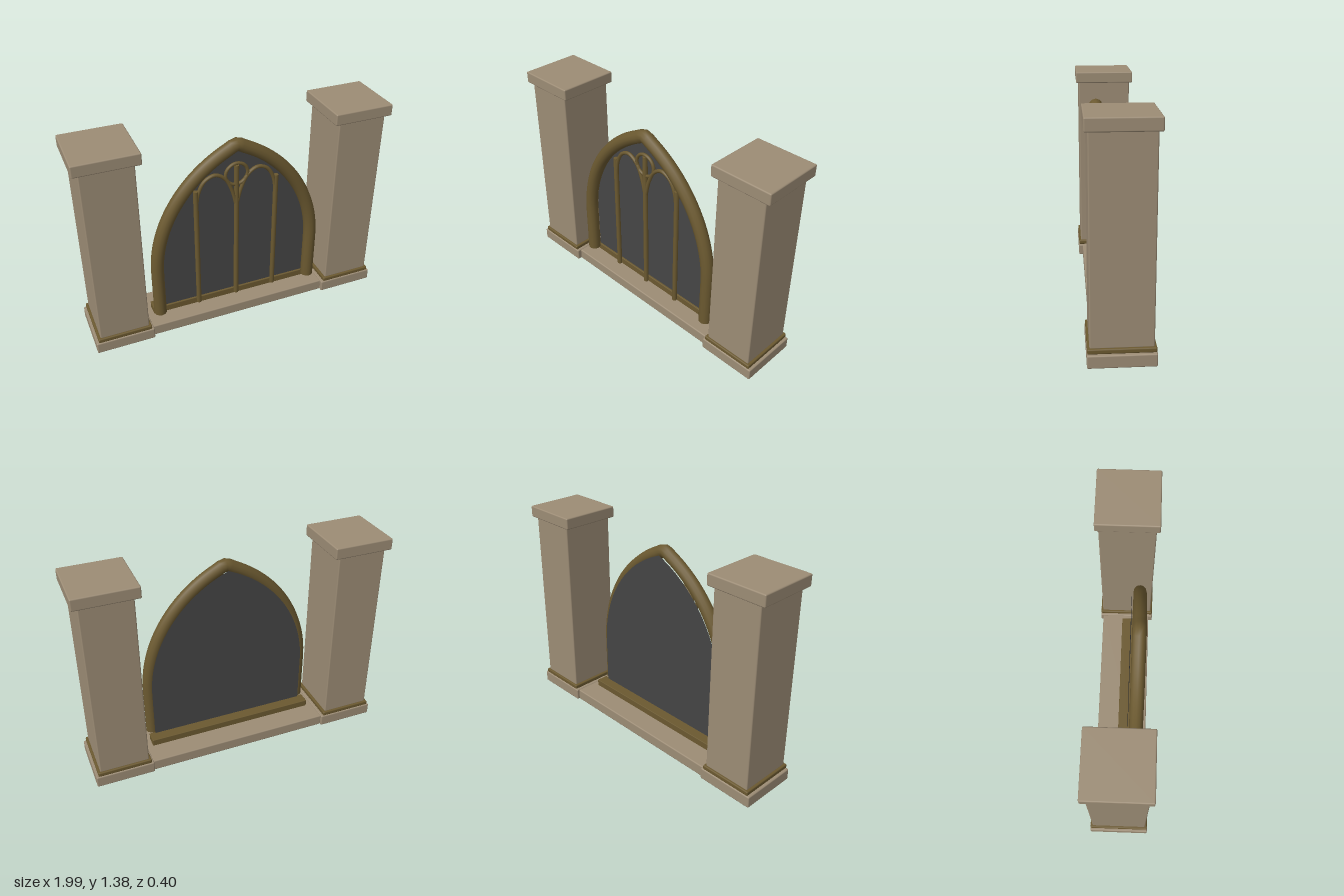
import * as THREE from 'three';
import { RoundedBoxGeometry } from 'three/addons/geometries/RoundedBoxGeometry.js';

export function createModel() {
  const model = new THREE.Group();
  const mat = (name, color, side = THREE.FrontSide) => {
    const m = new THREE.MeshStandardMaterial({ color, side });
    m.name = name;
    return m;
  };
  const stone = mat('sandstone', 0x9c8c75);
  const bronze = mat('bronze', 0x6b5930);
  const dark = mat('dark slate', 0x454545, THREE.DoubleSide);

  const add = (parent, name, geometry, material, x = 0, y = 0, z = 0) => {
    const mesh = new THREE.Mesh(geometry, material);
    mesh.name = name;
    mesh.position.set(x, y, z);
    parent.add(mesh);
    return mesh;
  };
  // rounded block resting between two heights
  const block = (parent, name, w, d, y0, y1, material, x = 0, z = 0, r = 0.008) =>
    add(parent, name, new RoundedBoxGeometry(w, y1 - y0, d, 2, r), material, x, (y0 + y1) / 2, z);

  // pillars with base, collar, shaft and cap
  for (const s of [1, -1]) {
    const pillar = new THREE.Group();
    pillar.name = s > 0 ? 'leftPillar' : 'rightPillar';
    pillar.position.x = s * 0.8;
    model.add(pillar);
    block(pillar, 'base', 0.38, 0.385, 0.002, 0.08, stone);
    block(pillar, 'collar', 0.35, 0.38, 0.08, 0.11, bronze);
    block(pillar, 'shaft', 0.32, 0.355, 0.105, 1.305, stone);
    block(pillar, 'cap', 0.393, 0.395, 1.3, 1.375, stone);
    add(pillar, 'footPad', new THREE.BoxGeometry(0.34, 0.004, 0.34), dark, 0, 0.002, 0);
  }

  // plinth between the pillars and the window ledge
  block(model, 'plinth', 1.23, 0.34, 0, 0.076, stone, 0, -0.005);
  block(model, 'ledge', 1.14, 0.08, 0.07, 0.12, bronze, 0, 0.01, 0.004);

  // pointed arch outline: straight jambs, then two arcs meeting at the apex
  const archPoints = (halfWidth, springY, apexY, bottomY, steps) => {
    const h = apexY - springY;
    const cx = (halfWidth * halfWidth - h * h) / (2 * halfWidth);
    const r = halfWidth - cx;
    const end = Math.atan2(h, -cx);
    const side = [[halfWidth, bottomY], [halfWidth, (bottomY + springY) / 2]];
    for (let i = 0; i <= steps; i++) {
      const a = (end * i) / steps;
      side.push([cx + r * Math.cos(a), springY + r * Math.sin(a)]);
    }
    const other = side.slice(0, -1).reverse().map(([x, y]) => [-x, y]);
    return [...side, ...other];
  };

  // window panel
  const panel = new THREE.Shape(archPoints(0.532, 0.45, 1.235, 0.1, 24).map(([x, y]) => new THREE.Vector2(x, y)));
  add(model, 'windowPanel', new THREE.ShapeGeometry(panel), dark, 0, 0, 0.038);

  // arch moulding
  const z = 0.09;
  const tube = (name, points, radius, segments, sides) => {
    const path = new THREE.CatmullRomCurve3(points.map(([x, y]) => new THREE.Vector3(x, y, z)));
    return add(model, name, new THREE.TubeGeometry(path, segments, radius, sides), bronze);
  };
  tube('archMoulding', archPoints(0.537, 0.45, 1.252, 0.12, 16), 0.042, 96, 12);
  for (const s of [1, -1]) {
    const end = add(model, 'mouldingFoot', new THREE.CircleGeometry(0.042, 12), bronze, s * 0.537, 0.12, z);
    end.rotation.x = Math.PI / 2;
  }

  // mullions
  for (const [x, top] of [[-0.267, 0.985], [0, 1.11], [0.267, 0.985]]) {
    add(model, 'mullion', new THREE.CylinderGeometry(0.016, 0.016, top - 0.12, 10), bronze, x, (top + 0.12) / 2, z);
  }

  // tracery: two small arches and a ring
  for (const s of [1, -1]) {
    tube('traceryArch', [[0.267, 0.82], [0.25, 0.965], [0.205, 1.045], [0.14, 1.07],
      [0.075, 1.03], [0.03, 0.94], [0, 0.82]].map(([x, y]) => [s * x, y]), 0.012, 40, 8);
  }
  add(model, 'traceryRing', new THREE.TorusGeometry(0.073, 0.011, 8, 32), bronze, 0, 1.05, z);

  return model;
}
